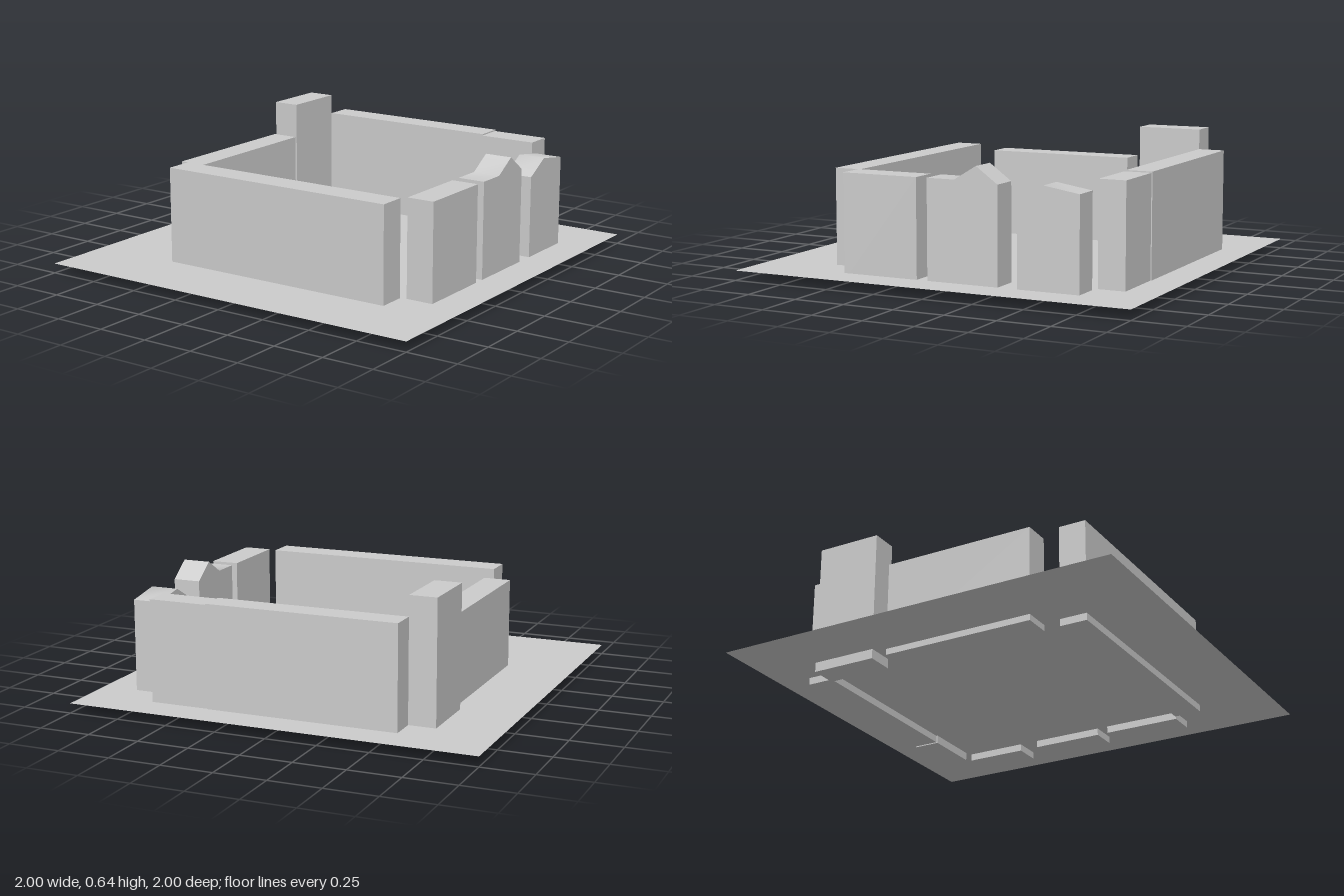
import * as THREE from 'three';
import { toCreasedNormals } from 'three/addons/utils/BufferGeometryUtils.js';

export function createModel() {
  const group = new THREE.Group();
  const material = new THREE.MeshStandardMaterial({ color: 0xcccccc });

  function add(name, geometry, mat = material) {
    const mesh = new THREE.Mesh(geometry, mat);
    mesh.name = name;
    group.add(mesh);
    return mesh;
  }

  // Straight block given by its extents on each axis
  function block(name, [x0, x1], [y0, y1], [z0, z1]) {
    add(name, new THREE.BoxGeometry(x1 - x0, y1 - y0, z1 - z0))
      .position.set((x0 + x1) / 2, (y0 + y1) / 2, (z0 + z1) / 2);
  }

  // Wall piece along z with a broken top line of [z, y] points, front to back
  function brokenWall(name, [x0, x1], bottom, top) {
    const outline = [[top[0][0], bottom], [top[top.length - 1][0], bottom], ...[...top].reverse()];
    const shape = new THREE.Shape(outline.map(([z, y]) => new THREE.Vector2(-z, y)));
    const geometry = new THREE.ExtrudeGeometry(shape, { depth: x1 - x0, bevelEnabled: false });
    geometry.rotateY(Math.PI / 2).translate(x0, 0, 0);
    add(name, toCreasedNormals(geometry, 0.7));
  }

  // Thin ground sheet; the walls are sunk slightly through it
  const sheet = new THREE.PlaneGeometry(2, 2).rotateX(-Math.PI / 2).translate(0, 0.05, 0);
  add('ground', sheet, new THREE.MeshStandardMaterial({ color: 0xcccccc, side: THREE.DoubleSide }));

  // Front, right and back walls with the tall corner post
  block('frontWall', [-0.555, 0.66], [0.015, 0.515], [0.52, 0.655]);
  block('rightWall', [-0.668, -0.535], [0.02, 0.487], [-0.33, 0.43]);
  block('cornerPost', [-0.7, -0.567], [0.003, 0.645], [-0.705, -0.385]);
  block('backWallLong', [-0.567, 0.37], [0.015, 0.547], [-0.835, -0.705]);
  block('backWallShort', [0.37, 0.658], [0.01, 0.541], [-0.83, -0.698]);

  // Left side: one whole wall piece and two with broken tops
  const leftX = [0.69, 0.825];
  block('leftWallFront', leftX, [0.015, 0.52], [0.125, 0.51]);
  brokenWall('leftWallMiddle', leftX, 0.015,
    [[0.07, 0.52], [-0.07, 0.52], [-0.18, 0.587], [-0.287, 0.51]]);
  brokenWall('leftWallBack', leftX, 0.015,
    [[-0.383, 0.45], [-0.51, 0.52], [-0.685, 0.492]]);

  return group;
}
